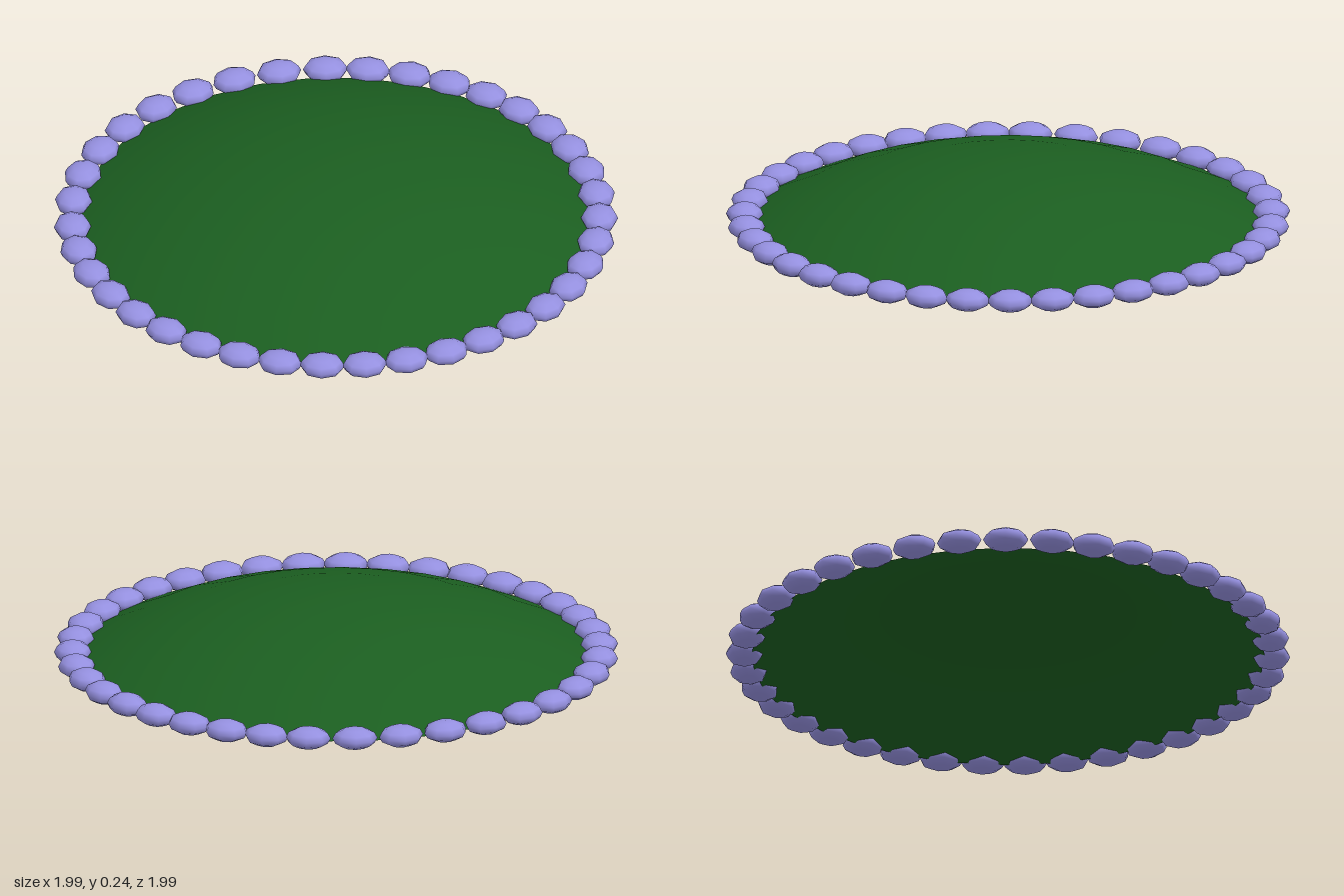
import * as THREE from 'three';

export function createModel() {
  const group = new THREE.Group();

  // Shallow open mound: the cap of a large sphere
  const R = 2, capAngle = Math.PI * 0.15, topY = 0.236;
  const mound = new THREE.Mesh(
    new THREE.SphereGeometry(R, 32, 5, 0, Math.PI * 2, 0, capAngle),
    new THREE.MeshStandardMaterial({ color: 0x1b5e20, side: THREE.DoubleSide })
  );
  mound.name = 'mound';
  mound.position.y = topY - R;
  group.add(mound);

  // Ring of flattened pebbles round the rim
  const border = new THREE.Group();
  border.name = 'stoneBorder';
  group.add(border);
  const stoneGeometry = new THREE.SphereGeometry(1, 8, 6);
  stoneGeometry.scale(0.08, 0.0385, 0.066);
  const stoneMaterial = new THREE.MeshStandardMaterial({ color: 0x9590e0 });
  const ringRadius = 0.932;

  // Angles run from the front (+z) towards +x
  const layArc = (startDeg, endDeg, count) => {
    for (let i = 0; i < count; i++) {
      const a = THREE.MathUtils.degToRad(startDeg + ((endDeg - startDeg) * i) / count);
      const stone = new THREE.Mesh(stoneGeometry, stoneMaterial);
      stone.name = 'stone';
      stone.position.set(ringRadius * Math.sin(a), 0.0385, ringRadius * Math.cos(a));
      stone.rotation.y = a;
      border.add(stone);
    }
  };
  layArc(-92.3, 176.2, 29); // closely set stones
  layArc(176.2, 267.7, 9);  // slightly wider spacing at the back left

  return group;
}
